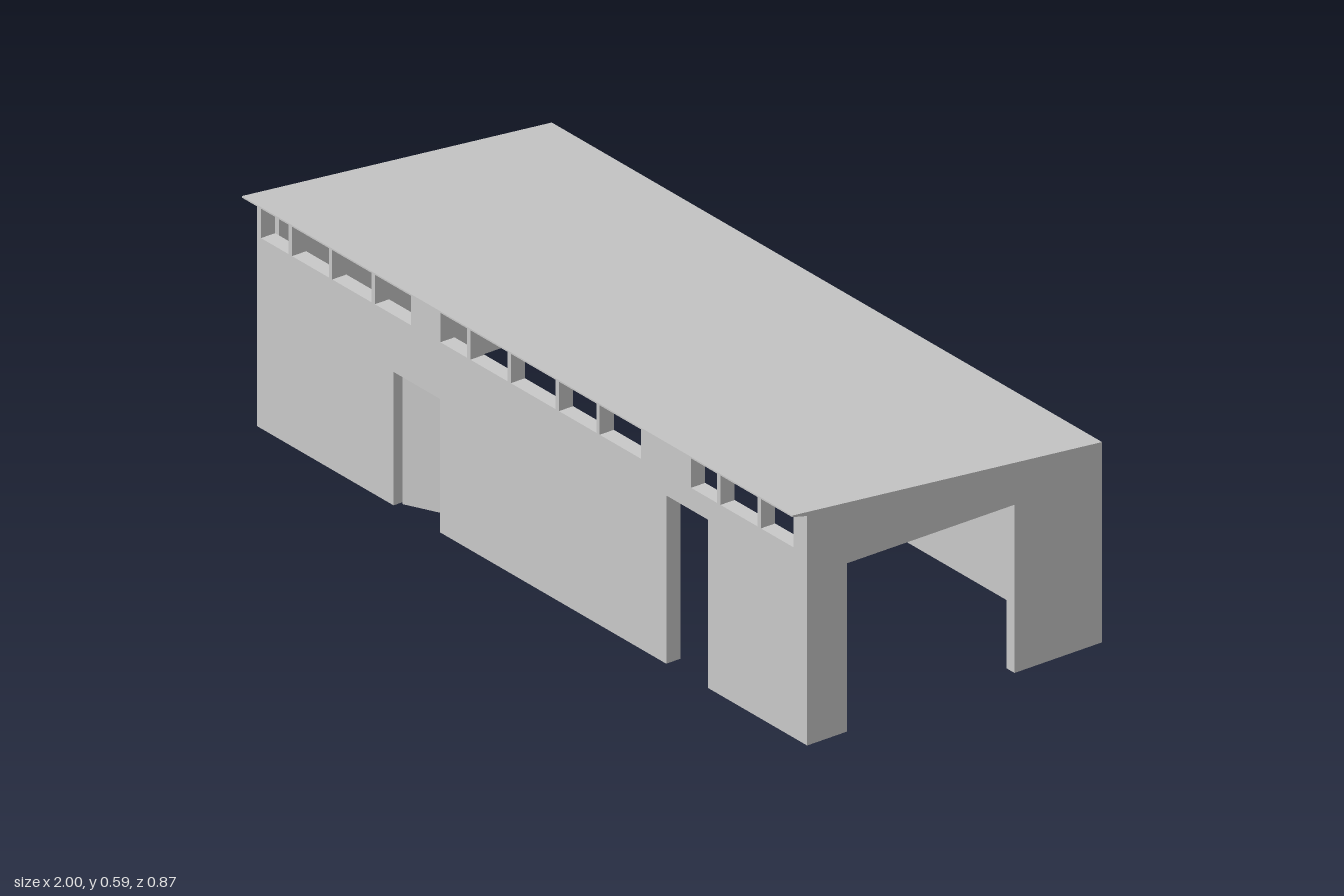
import * as THREE from 'three';

const FRONT = 0.395, BACK = -0.437, TZ = 0.04, TX = 0.03;
const roofTop = z => 0.5 + (z - BACK) * (0.087 / 0.874);
const ceiling = z => roofTop(z) - 0.029;

export function createModel() {
  const group = new THREE.Group();
  const concrete = new THREE.MeshStandardMaterial({ color: 0xc8c8c8 });
  concrete.name = 'plain grey';

  const add = (name, geometry) => {
    const mesh = new THREE.Mesh(geometry, concrete);
    mesh.name = name;
    group.add(mesh);
    return mesh;
  };
  const outline = points => new THREE.Shape(points.map(([x, y]) => new THREE.Vector2(x, y)));
  const extrude = (points, depth) =>
    new THREE.ExtrudeGeometry(outline(points), { depth, bevelEnabled: false });
  // Extrude a [z, y] profile along x
  const extrudeX = (points, x0, x1) =>
    extrude(points.map(([z, y]) => [-z, y]), x1 - x0).rotateY(Math.PI / 2).translate(x0, 0, 0);

  // Sloping roof with a thin tapered front overhang
  const inner = FRONT - TZ, wallTop = 0.573;
  add('roof', extrudeX([
    [0.437, 0.587], [BACK, 0.5], [BACK, ceiling(BACK)], [inner, ceiling(inner)],
    [inner, wallTop], [FRONT, wallTop], [0.437, 0.583],
  ], -1, 1));

  // Front wall: doorways cut from the bottom, window bands from the top
  const doorways = [[-0.503, -0.335, 0.333], [0.488, 0.64, 0.42]];
  const bands = [[-0.985, -0.44], [-0.333, 0.397], [0.578, 0.95]];
  const sill = 0.475;
  const front = [[-1, 0]];
  doorways.forEach(([a, b, h]) => front.push([a, 0], [a, h], [b, h], [b, 0]));
  front.push([1, 0], [1, wallTop]);
  [...bands].reverse().forEach(([a, b]) =>
    front.push([b, wallTop], [b, sill], [a, sill], [a, wallTop]));
  front.push([-1, wallTop]);
  add('frontWall', extrude(front, TZ).translate(0, 0, inner));

  // Mullions between the window openings
  [-0.878, -0.732, -0.577, -0.23, -0.083, 0.092, 0.24, 0.679, 0.826].forEach(x =>
    add('mullion', new THREE.BoxGeometry(0.012, wallTop - sill, TZ)
      .translate(x, (wallTop + sill) / 2, FRONT - TZ / 2)));

  // Back wall
  const rear = BACK + TZ;
  add('backWall', extrudeX(
    [[BACK, 0], [rear, 0], [rear, ceiling(rear)], [BACK, ceiling(BACK)]], -1, 1));

  // Solid end wall
  const top = [[inner, ceiling(inner)], [rear, ceiling(rear)]];
  add('solidEndWall', extrudeX([[rear, 0], [inner, 0], ...top], -1, -1 + TX));

  // Opposite end wall with the large gateway
  add('gatewayEndWall', extrudeX([
    [rear, 0], [-0.19, 0], [-0.19, 0.42], [0.283, 0.42], [0.283, 0], [inner, 0], ...top,
  ], 1 - TX, 1));

  // Door leaf, hinged at its -x edge and standing ajar inwards
  const door = add('doorLeaf', new THREE.BoxGeometry(0.168, 0.331, 0.012).translate(0.084, 0.1655, 0));
  door.position.set(-0.498, 0, FRONT - 0.025);
  door.rotation.y = 0.44;

  return group;
}
